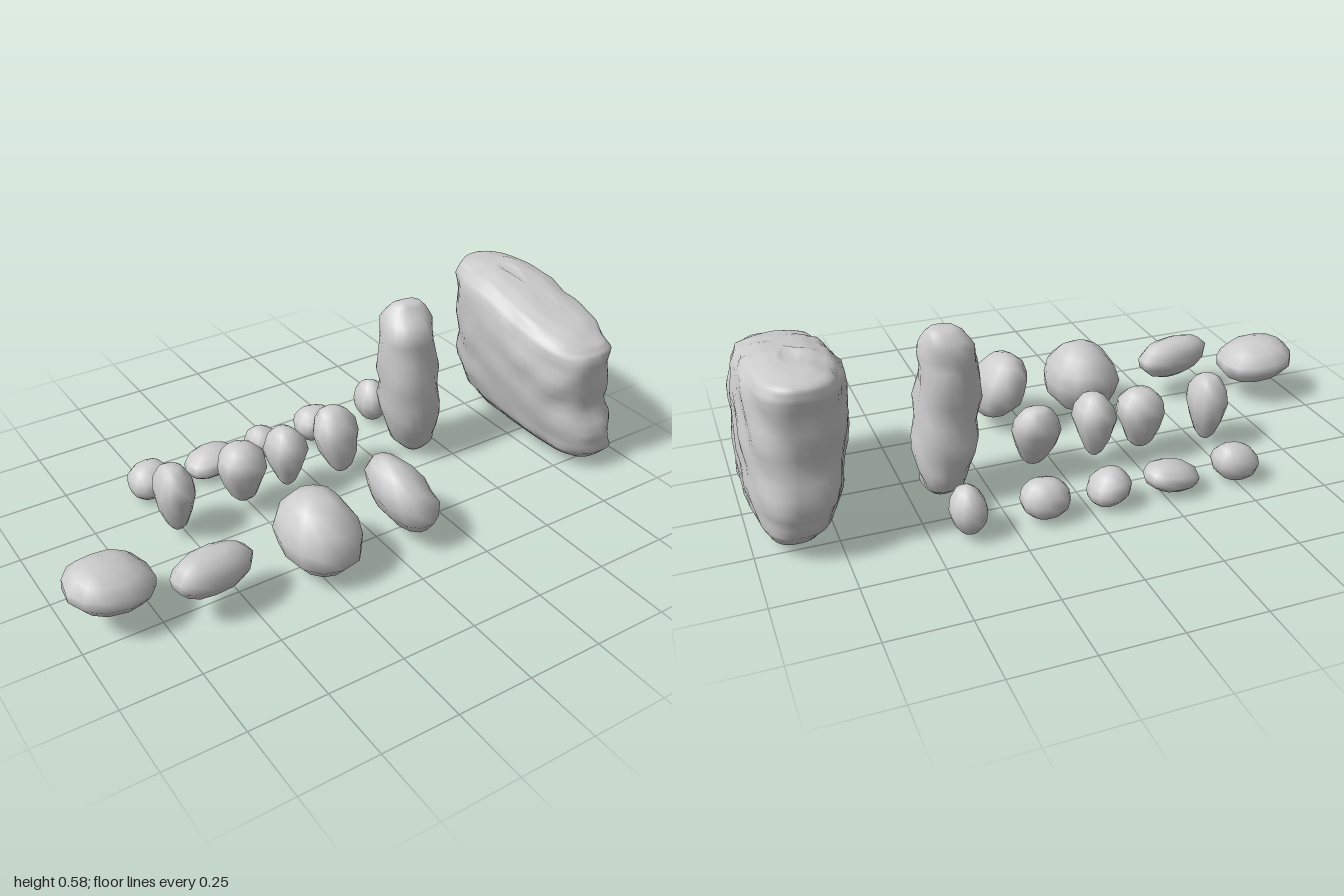
import * as THREE from 'three';

const material = new THREE.MeshStandardMaterial({ color: 0xcccccc, roughness: 0.9 });

// Smooth lumps through space, about -1 to 1
const lumps = (x, y, z, s) =>
  (Math.sin(38 * y + 11 * z + s * 1.7) +
    Math.sin(33 * z - 37 * y + 20 * x + s * 2.9) +
    Math.sin(29 * x + 23 * y - 51 * z + s * 4.3)) / 2.4;

// Lofts a rock through rows of [y, xMin, xMax, zMin, zMax], bottom to top
function rock(name, rows, { seg = 12, sub = 1, power = 2.25, bump = 0.005, seed = 0, warp }) {
  const pos = [], idx = [];
  const rings = (rows.length - 1) * sub + 1;
  const sg = (v) => Math.sign(v) * Math.abs(v) ** (2 / power);
  const add = (cx, y, cz, dx, dz) => {
    const n = bump * lumps(cx + dx, y, cz + dz, seed);
    const len = Math.hypot(dx, dz) || 1;
    // Lumps push outward across the thin direction as well as the long one
    const p = new THREE.Vector3(cx + dx + n * Math.sign(dx) * Math.min(1, Math.abs(dx) / len * 3),
      y + n * 0.5, cz + dz + n * dz / len);
    if (warp) warp(p);
    pos.push(p.x, p.y, p.z);
  };
  for (let i = 0; i < rings; i++) {
    const k = Math.min(Math.floor(i / sub), rows.length - 2);
    const f = i / sub - k;
    const [y, x0, x1, z0, z1] = rows[k].map((v, n) => v + (rows[k + 1][n] - v) * f);
    for (let j = 0; j < seg; j++) {
      const a = (j / seg) * Math.PI * 2 + seed * 0.4;
      add((x0 + x1) / 2, y, (z0 + z1) / 2, sg(Math.cos(a)) * (x1 - x0) / 2, sg(Math.sin(a)) * (z1 - z0) / 2);
    }
  }
  for (const r of [rows[0], rows[rows.length - 1]]) add((r[1] + r[2]) / 2, r[0], (r[3] + r[4]) / 2, 0, 0);
  const bottom = rings * seg, top = bottom + 1;
  for (let j = 0; j < seg; j++) {
    const n = (j + 1) % seg;
    for (let i = 0; i < rings - 1; i++) {
      const a = i * seg + j, b = i * seg + n;
      idx.push(a, a + seg, b + seg, a, b + seg, b);
    }
    idx.push(bottom, j, n, top, (rings - 1) * seg + n, (rings - 1) * seg + j);
  }
  const g = new THREE.BufferGeometry();
  g.setAttribute('position', new THREE.Float32BufferAttribute(pos, 3));
  g.setIndex(idx);
  g.computeVertexNormals();
  const mesh = new THREE.Mesh(g, material);
  mesh.name = name;
  return mesh;
}

// Height fraction and width fraction for the small stones
const profiles = {
  round: [[0, 0.32], [0.08, 0.62], [0.28, 0.93], [0.5, 1], [0.72, 0.9], [0.92, 0.6], [1, 0.28]],
  flat: [[0, 0.4], [0.15, 0.75], [0.4, 0.98], [0.64, 0.99], [0.88, 0.76], [1, 0.42]],
  tapered: [[0, 0.28], [0.08, 0.48], [0.32, 0.76], [0.6, 1], [0.8, 0.86], [0.95, 0.55], [1, 0.28]],
};

// Small stone filling a box; leans shift its top, tilt slopes it along x, skew slides z along x
function stone(name, type, [x0, x1], [y0, y1], [z0, z1], seed, { leanX = 0, leanZ = 0, tilt = 0, skew = 0 } = {}) {
  const cx = (x0 + x1) / 2, cz = (z0 + z1) / 2;
  const hx = (x1 - x0) / 2 - Math.abs(leanX) / 5, hz = (z1 - z0) / 2 - Math.abs(leanZ) / 5;
  const rows = profiles[type].map(([t, s]) => {
    const mx = cx + leanX * (t - 0.5), mz = cz + leanZ * (t - 0.5);
    return [y0 + (y1 - y0) * t, mx - hx * s, mx + hx * s, mz - hz * s, mz + hz * s];
  });
  const warp = (p) => {
    p.y += tilt * (p.x - cx);
    p.z += skew * (p.x - cx);
  };
  return rock(name, rows, { seed, warp });
}

export function createModel() {
  const model = new THREE.Group();

  // Large slab, its top falling toward the front
  model.add(rock('largeSlab', [
    [0.022, 0.84, 0.94, -0.22, 0.24],
    [0.04, 0.78, 0.965, -0.28, 0.305],
    [0.09, 0.74, 0.985, -0.33, 0.35],
    [0.18, 0.71, 0.99, -0.36, 0.335],
    [0.3, 0.685, 0.99, -0.335, 0.305],
    [0.42, 0.67, 0.985, -0.345, 0.315],
    [0.52, 0.68, 0.97, -0.36, 0.31],
    [0.56, 0.71, 0.95, -0.35, 0.285],
    [0.577, 0.76, 0.9, -0.3, 0.22],
    [0.58, 0.8, 0.86, -0.2, 0.12],
  ], {
    seg: 60, sub: 3, power: 2.8, bump: 0.006, seed: 2,
    warp: (p) => { p.y *= 1 - 0.17 * THREE.MathUtils.clamp((p.z + 0.13) / 0.4, 0, 1); },
  }));

  // Standing pillar
  model.add(rock('pillar', [
    [0.02, 0.365, 0.43, -0.14, -0.07],
    [0.05, 0.335, 0.46, -0.18, -0.04],
    [0.12, 0.3, 0.475, -0.21, -0.015],
    [0.22, 0.28, 0.48, -0.22, 0],
    [0.34, 0.27, 0.465, -0.205, -0.01],
    [0.46, 0.27, 0.45, -0.21, -0.02],
    [0.52, 0.29, 0.445, -0.2, -0.05],
    [0.565, 0.325, 0.435, -0.175, -0.08],
    [0.58, 0.35, 0.42, -0.15, -0.1],
  ], { seg: 20, sub: 2, bump: 0.008, seed: 5 }));

  // Front row boulders
  model.add(
    stone('flatBoulder', 'flat', [-1, -0.735], [0.072, 0.208], [0.04, 0.285], 1, { tilt: -0.1 }),
    stone('smallFlatBoulder', 'flat', [-0.73, -0.46], [0.08, 0.21], [0.205, 0.35], 3, { tilt: -0.06, skew: -0.12 }),
    stone('roundBoulder', 'round', [-0.355, -0.105], [0.015, 0.255], [0.11, 0.43], 4, { leanZ: -0.03 }),
    stone('leaningBoulder', 'round', [-0.02, 0.175], [0.045, 0.27], [0.12, 0.42], 6, { leanX: -0.05, leanZ: -0.05 }),
  );

  // Middle row of upright stones, narrow at the foot
  [
    [[-0.59, -0.46], [0.03, 0.255], 0], [[-0.365, -0.2], [0.05, 0.25], 0],
    [[-0.185, -0.05], [0.05, 0.262], 0], [[0, 0.165], [0.045, 0.26], -0.05],
  ].forEach(([x, y, leanZ], i) =>
    model.add(stone('uprightStone' + (i + 1), 'tapered', x, y, [-0.195, -0.03], 7 + i, { leanZ })));

  // Back row of pebbles
  [
    [[-0.58, -0.43], 0.12, 0.1], [[-0.37, -0.19], 0.105, 0.12], [[-0.135, 0], 0.12, -0.2],
    [[0.06, 0.22], 0.13, 0], [[0.33, 0.44], 0.165, 0],
  ].forEach(([x, h, tilt], i) =>
    model.add(stone('pebble' + (i + 1), 'round', x, [i ? 0.012 : 0.005, h], [-0.42, -0.28], 12 + i, { tilt })));

  return model;
}
